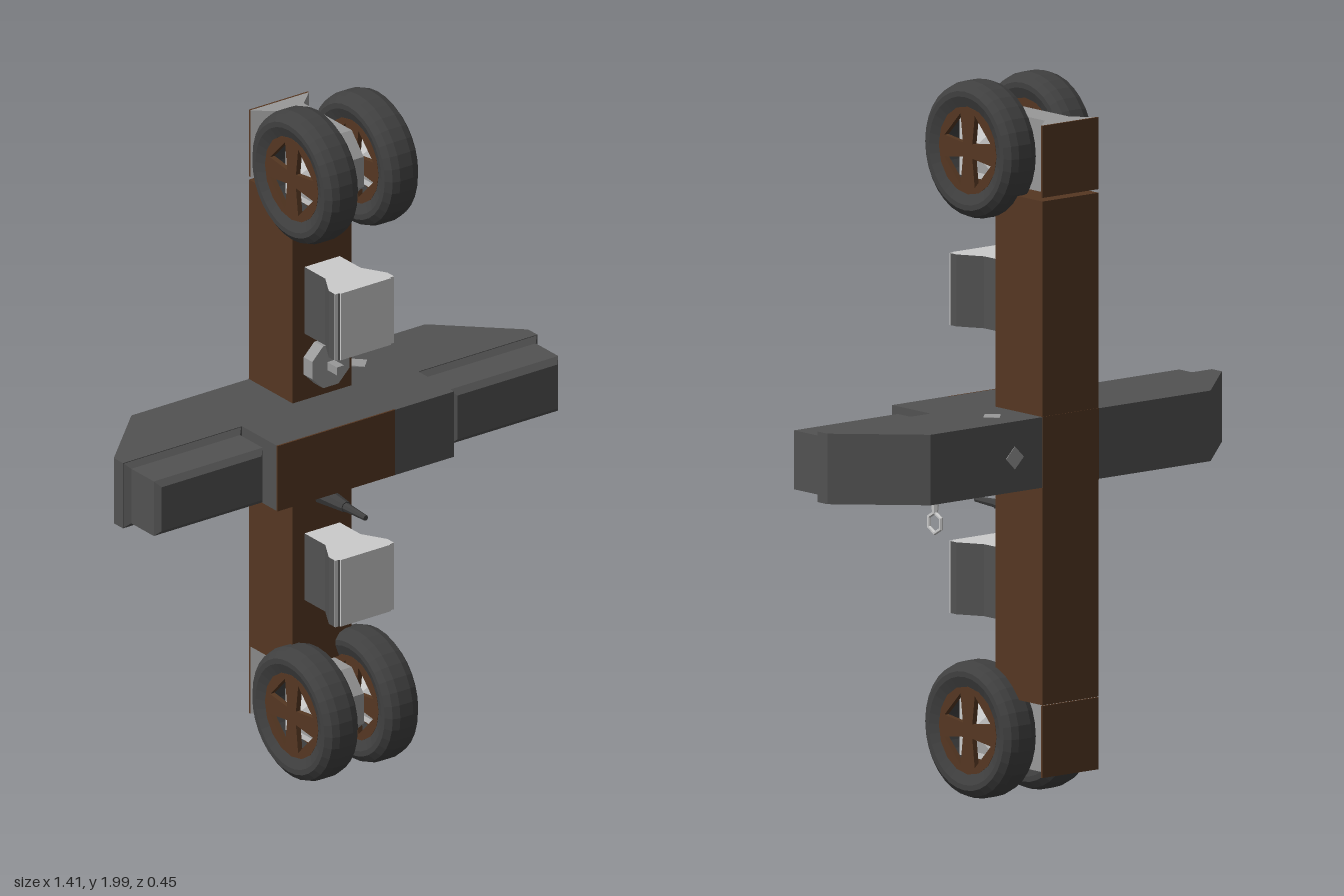
import * as THREE from 'three';

const mat = (color, extra = {}) => new THREE.MeshStandardMaterial({ color, flatShading: true, ...extra });
const light = mat(0xcccccc), mid = mat(0x999999), dark = mat(0x525252), black = mat(0x404040), brown = mat(0x553722);

function add(parent, name, geometry, material, x = 0, y = 0, z = 0) {
  const mesh = new THREE.Mesh(geometry, material);
  mesh.name = name;
  mesh.position.set(x, y, z);
  parent.add(mesh);
  return mesh;
}
const box = (w, h, d) => new THREE.BoxGeometry(w, h, d);
const shapeOf = pts => new THREE.Shape(pts.map(p => new THREE.Vector2(...p)));
const extrude = (shape, depth) => new THREE.ExtrudeGeometry(shape, { depth, bevelEnabled: false, curveSegments: 8 });
// Outline in x and z, centred on its height
const slab = (pts, h) => extrude(shapeOf(pts), h).rotateX(Math.PI / 2).translate(0, h / 2, 0);
// Mirror a half outline (x >= 0) across x = 0
const mirrored = half => [...half, ...half.map(([x, z]) => [-x, z]).reverse()];

// Rectangular frustum along z from stacked sections [halfWidth, halfHeight, z]
function stacked(sections) {
  const pos = [], index = [];
  for (const [w, h, z] of sections) pos.push(-w, -h, z, w, -h, z, w, h, z, -w, h, z);
  const last = (sections.length - 1) * 4;
  for (let s = 0; s < last; s += 4)
    for (let i = 0; i < 4; i++) {
      const a = s + i, b = s + (i + 1) % 4;
      index.push(a, b, b + 4, a, b + 4, a + 4);
    }
  index.push(0, 2, 1, 0, 3, 2, last, last + 1, last + 2, last, last + 2, last + 3);
  const g = new THREE.BufferGeometry();
  g.setAttribute('position', new THREE.Float32BufferAttribute(pos, 3));
  g.setIndex(index);
  const flat = g.toNonIndexed();
  flat.computeVertexNormals();
  return flat;
}

// Wheel with its axis along x and its outer face towards +x
function makeWheel() {
  const wheel = new THREE.Group();
  wheel.name = 'wheel';
  const profile = [[0.12, -0.045], [0.15, -0.057], [0.165, -0.057], [0.183, -0.043], [0.19, -0.022],
    [0.19, 0.022], [0.183, 0.043], [0.165, 0.057], [0.15, 0.057], [0.12, 0.045], [0.12, -0.045]];
  const tire = new THREE.LatheGeometry(profile.map(p => new THREE.Vector2(...p)), 32);
  add(wheel, 'tire', tire.rotateZ(-Math.PI / 2), black);
  // Rim with four windows between the spokes
  const rim = new THREE.Shape().absarc(0, 0, 0.122, 0, Math.PI * 2);
  for (const [sx, sy] of [[1, 1], [-1, 1], [-1, -1], [1, -1]])
    rim.holes.push(new THREE.Path([[0.02, 0.02], [0.03, 0.1], [0.098, 0.03]]
      .map(([u, v]) => new THREE.Vector2(u * sx, v * sy))));
  const rimGeometry = extrude(rim, 0.015).rotateY(Math.PI / 2);
  add(wheel, 'rim', rimGeometry, brown, 0.031);
  add(wheel, 'innerRim', rimGeometry, brown, -0.046);
  // Faceted hub seen through the windows
  for (const s of [1, -1]) {
    const hub = new THREE.ConeGeometry(0.165, 0.035, 4).rotateY(Math.PI / 4);
    const p = hub.attributes.position;
    for (let i = 0; i < p.count; i++) {
      const r = Math.hypot(p.getX(i), p.getZ(i)), k = r > 0.119 ? 0.119 / r : 1;
      p.setX(i, p.getX(i) * k);
      p.setZ(i, p.getZ(i) * k);
    }
    hub.rotateZ(-s * Math.PI / 2);
    add(wheel, 'hub', hub, light, s * 0.014);
  }
  return wheel;
}

// Axle holder with a flared foot, a chamfered nose and a pair of wheels
function makeAxle(y, name) {
  const axle = new THREE.Group();
  axle.name = name;
  axle.position.y = y;
  add(axle, 'backPlate', box(0.2, 0.2, 0.006), brown, 0, 0, -0.222);
  add(axle, 'foot', slab(mirrored([[0.1, -0.219], [0.045, -0.17]]), 0.2), mid);
  const side = shapeOf([[-0.18, -0.1], [0.05, -0.1], [0.105, -0.05], [0.105, 0.04], [0.05, 0.1], [-0.18, 0.1]]);
  add(axle, 'neck', extrude(side, 0.09).rotateY(-Math.PI / 2).translate(0.045, 0, 0), mid);
  for (const s of [1, -1]) {
    const wheel = makeWheel();
    wheel.position.set(s * 0.1025, 0, 0.035);
    if (s < 0) wheel.rotation.y = Math.PI;
    axle.add(wheel);
  }
  return axle;
}

export function createModel() {
  const model = new THREE.Group();
  model.name = 'model';
  add(model, 'mainBeam', box(0.2, 1.4, 0.2), brown, 0, 1, -0.125);
  model.add(makeAxle(0.198, 'lowerAxle'), makeAxle(1.81, 'upperAxle'));

  // Waisted blocks on the front of the beam
  for (const y of [0.6, 1.4]) {
    const outline = mirrored([[0.06, -0.025], [0.06, 0.07], [0.1, 0.14], [0.1, 0.165], [0.085, 0.172]]);
    add(model, 'frontBlock', slab(outline, 0.2), [light, dark], 0, y);
    add(model, 'blockFace', box(0.17, 0.2, 0.003), light, 0, y, 0.1735);
    for (const s of [1, -1])
      add(model, 'blockEdge', box(0.015, 0.2, 0.004), light, s * 0.0925, y, 0.1675);
  }

  // Cross arm with swept ends and a brown front panel
  const arm = mirrored([[0.5, -0.225], [0.705, -0.03], [0.705, 0.012], [0.3, 0.012], [0.3, 0.17]]);
  add(model, 'crossArm', slab(arm, 0.196), dark, 0, 1.003);
  add(model, 'frontPanel', box(0.4, 0.196, 0.005), brown, -0.1, 1.003, 0.1725);
  add(model, 'frontPanelDark', box(0.2, 0.196, 0.005), dark, 0.2, 1.003, 0.1725);
  add(model, 'beamBack', box(0.2, 0.198, 0.002), brown, 0, 1.003, -0.2255);
  for (const s of [1, -1]) {
    const pod = stacked([[0.202, 0.098, 0.01], [0.185, 0.082, 0.027], [0.185, 0.082, 0.13], [0.17, 0.066, 0.146]]);
    add(model, 'endPod', pod, dark, s * 0.503, 1.003);
  }

  // Small diamond studs on the arm
  for (const y of [0.904, 1.102])
    add(model, 'stud', box(0.045, 0.003, 0.045), mid, 0.2, y, -0.13).rotation.y = Math.PI / 4;
  add(model, 'backStud', box(0.045, 0.045, 0.003), mid, 0.2, 1, -0.225).rotation.z = Math.PI / 4;

  // Hanging ring under the arm
  const frame = new THREE.Shape().setFromPoints([[-0.055, -0.055], [0.055, -0.055], [0.055, 0.055], [-0.055, 0.055]]
    .map(p => new THREE.Vector2(...p)));
  frame.holes.push(new THREE.Path().absarc(0, 0, 0.035, 0, Math.PI * 2));
  add(model, 'hookFrame', extrude(frame, 0.012).rotateX(Math.PI / 2), light, 0.4, 0.906, -0.125);
  add(model, 'hookStem', new THREE.CylinderGeometry(0.014, 0.008, 0.05, 6), light, 0.4, 0.882, -0.125);
  const ring = new THREE.TorusGeometry(0.029, 0.006, 6, 6).rotateY(Math.PI / 2);
  add(model, 'hookRing', ring, light, 0.4, 0.83, -0.125).rotation.x = Math.PI / 6;

  // Octagonal knob
  const disc = new THREE.CylinderGeometry(0.068, 0.068, 0.04, 8).rotateY(Math.PI / 8).rotateX(Math.PI / 2);
  add(model, 'knobDisc', disc, mid, 0, 1.204, -0.005);
  add(model, 'knobStem', box(0.024, 0.024, 0.045), mid, 0, 1.204, 0.037);

  // Stepped spike
  const spike = new THREE.CylinderGeometry(0.016, 0.028, 0.11, 8).rotateX(Math.PI / 2);
  add(model, 'spikeBase', spike, black, 0, 0.803, 0.03);
  const tip = new THREE.CylinderGeometry(0.008, 0.013, 0.09, 8).rotateX(Math.PI / 2);
  add(model, 'spikeTip', tip, black, 0, 0.803, 0.13);
  return model;
}
